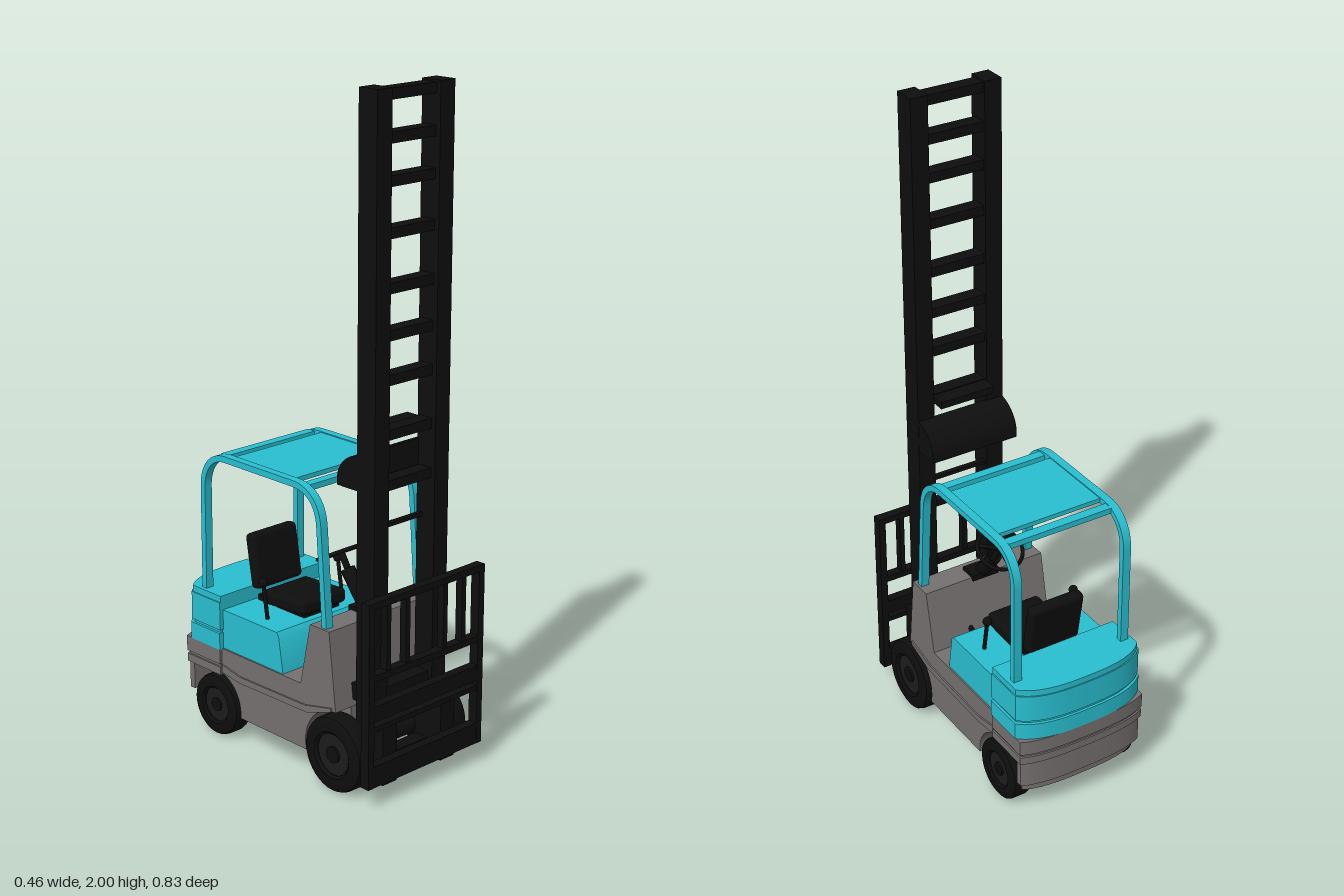
import * as THREE from 'three';
import { RoundedBoxGeometry } from 'three/addons/geometries/RoundedBoxGeometry.js';
import { toCreasedNormals } from 'three/addons/utils/BufferGeometryUtils.js';

const paint = (color) => new THREE.MeshStandardMaterial({ color, side: THREE.DoubleSide });
const teal = paint(0x29bfd0), grey = paint(0x767070), black = paint(0x0e0e0e), dark = paint(0x1c1c1c);

export function createModel() {
  const model = new THREE.Group();
  const add = (name, geo, mat, parent = model) => {
    const mesh = new THREE.Mesh(geo, mat);
    mesh.name = name;
    parent.add(mesh);
    return mesh;
  };
  // box given by its limits on each axis
  const box = (name, mat, [x0, x1], [y0, y1], [z0, z1], parent) => {
    const m = add(name, new THREE.BoxGeometry(x1 - x0, y1 - y0, z1 - z0), mat, parent);
    m.position.set((x0 + x1) / 2, (y0 + y1) / 2, (z0 + z1) / 2);
    return m;
  };
  const poly = (pts) => new THREE.Shape(pts.map((p) => new THREE.Vector2(...p)));
  // side outline drawn in (z, y), extruded across x
  const side = (name, mat, shape, width, x = 0) => {
    const g = new THREE.ExtrudeGeometry(shape, { depth: width, bevelEnabled: false, curveSegments: 16 });
    g.translate(0, 0, -width / 2).rotateY(-Math.PI / 2);
    const m = add(name, toCreasedNormals(g, 0.6), mat);
    m.position.x = x;
    return m;
  };
  // bowed rear block seen from above, extruded upwards
  const rearLayer = (name, mat, y0, y1, zFront, zCorner, inset) => {
    const w = 0.215 - inset, zb = 0.416 - inset;
    const s = new THREE.Shape();
    s.moveTo(-w, -zFront);
    s.lineTo(w, -zFront);
    s.lineTo(w, zCorner - inset);
    s.bezierCurveTo(w * 0.75, zb, w * 0.3, zb, 0, zb);
    s.bezierCurveTo(-w * 0.3, zb, -w * 0.75, zb, -w, zCorner - inset);
    const g = new THREE.ExtrudeGeometry(s, { depth: y1 - y0, bevelEnabled: false, curveSegments: 16 });
    g.rotateX(-Math.PI / 2).translate(0, y0, 0);
    return add(name, toCreasedNormals(g, 0.6), mat);
  };
  const rod = (name, mat, a, b, r) => {
    const path = new THREE.LineCurve3(new THREE.Vector3(...a), new THREE.Vector3(...b));
    return add(name, new THREE.TubeGeometry(path, 1, r, 10), mat);
  };

  // chassis with wheel arches and front cowl
  const chassis = new THREE.Shape();
  chassis.moveTo(-0.152, 0.085);
  chassis.lineTo(0.132, 0.085);
  chassis.absarc(0.255, 0.115, 0.125, Math.PI, Math.PI / 2, true);
  [[0.228, 0.478], [0.15, 0.478], [0.11, 0.285], [-0.26, 0.285]].forEach((p) => chassis.lineTo(...p));
  chassis.lineTo(-0.26, 0.208);
  chassis.absarc(-0.26, 0.1, 0.108, Math.PI / 2, 0, true);
  side('chassis', grey, chassis, 0.41);
  box('chassisCore', grey, [-0.14, 0.14], [0.08, 0.28], [-0.38, 0.25]);
  side('fenderRidge', grey, poly([[0.24, 0.25], [0.24, 0.238], [0.14, 0.205], [-0.15, 0.2],
    [-0.23, 0.21], [-0.23, 0.235], [-0.15, 0.22], [0.13, 0.225]]), 0.42);

  // counterweight
  rearLayer('counterweightUpper', grey, 0.235, 0.282, -0.235, 0.388, 0.002);
  rearLayer('counterweightGroove', grey, 0.225, 0.235, -0.235, 0.388, 0.008);
  rearLayer('counterweightMiddle', grey, 0.2, 0.225, -0.235, 0.388, 0.003);
  rearLayer('counterweightLower', grey, 0.115, 0.2, -0.36, 0.388, 0.008);
  rearLayer('counterweightFoot', grey, 0.085, 0.115, -0.36, 0.388, 0.022);

  // rear hood and seat box
  rearLayer('rearHoodLower', teal, 0.282, 0.335, -0.232, 0.362, 0);
  rearLayer('rearHoodGroove', teal, 0.335, 0.345, -0.236, 0.362, 0.008);
  rearLayer('rearHood', teal, 0.345, 0.432, -0.232, 0.362, 0.002);
  rearLayer('rearHoodLid', teal, 0.432, 0.452, -0.232, 0.362, 0.005);
  side('seatBox', teal, poly([[0.03, 0.283], [0.012, 0.395], [0.003, 0.407], [-0.24, 0.407], [-0.24, 0.283]]), 0.4);

  // overhead guard
  const hoop = new THREE.Shape();
  hoop.moveTo(0.209, 0.475);
  hoop.lineTo(0.187, 0.77);
  hoop.bezierCurveTo(0.182, 0.85, 0.13, 0.885, 0.07, 0.885);
  hoop.lineTo(-0.22, 0.885);
  hoop.bezierCurveTo(-0.29, 0.885, -0.328, 0.83, -0.328, 0.77);
  hoop.lineTo(-0.328, 0.45);
  hoop.lineTo(-0.309, 0.45);
  hoop.lineTo(-0.309, 0.77);
  hoop.bezierCurveTo(-0.309, 0.82, -0.28, 0.866, -0.22, 0.866);
  hoop.lineTo(0.07, 0.866);
  hoop.bezierCurveTo(0.12, 0.866, 0.164, 0.84, 0.168, 0.77);
  hoop.lineTo(0.19, 0.475);
  for (const s of [1, -1]) side('guardHoop', teal, hoop, 0.026, s * 0.184);
  box('guardRoof', teal, [-0.172, 0.172], [0.868, 0.882], [-0.205, 0.055]);
  box('guardRearBar', teal, [-0.172, 0.172], [0.862, 0.88], [-0.262, -0.232]);
  box('guardFrontBar', teal, [-0.172, 0.172], [0.858, 0.876], [0.083, 0.112]);

  // wheels
  const wheel = (name, r, w, x, z) => {
    const g = new THREE.Group();
    g.name = name;
    const h = w / 2;
    const tyre = [[r * 0.55, -h * 0.8], [r * 0.62, -h], [r * 0.88, -h], [r * 0.97, -h * 0.85], [r, -h * 0.55],
      [r, h * 0.55], [r * 0.97, h * 0.85], [r * 0.88, h], [r * 0.62, h], [r * 0.55, h * 0.8]];
    add('tyre', toCreasedNormals(new THREE.LatheGeometry(tyre.map((p) => new THREE.Vector2(...p)), 36), 0.6), black, g);
    add('rim', new THREE.CylinderGeometry(r * 0.56, r * 0.56, w * 0.7, 28), dark, g);
    add('hub', new THREE.CylinderGeometry(r * 0.22, r * 0.22, w * 0.9, 16), black, g);
    g.rotation.z = Math.PI / 2;
    g.position.set(x, r, z);
    model.add(g);
  };
  for (const s of [1, -1]) {
    wheel('frontWheel', 0.114, 0.067, s * 0.187, 0.254);
    wheel('rearWheel', 0.095, 0.066, s * 0.18, -0.26);
  }
  rod('frontAxle', black, [-0.16, 0.114, 0.254], [0.16, 0.114, 0.254], 0.03);
  rod('rearAxle', black, [-0.16, 0.095, -0.26], [0.16, 0.095, -0.26], 0.02);

  // mast: two uprights with rungs
  for (const s of [1, -1]) {
    box('mastUpright', black, [s * 0.1175 - 0.0275, s * 0.1175 + 0.0275], [0.04, 2], [0.276, 0.345]);
    box('mastPivot', black, [s * 0.115 - 0.02, s * 0.115 + 0.02], [0.26, 0.31], [0.235, 0.28]);
  }
  for (const y of [1.98, 1.865, 1.75, 1.61, 1.46, 1.33, 1.205, 1.05, 0.905, 0.29, 0.08])
    box('mastRung', black, [-0.1, 0.1], [y - 0.015, y + 0.015], [0.285, 0.33]);
  box('mastTieBar', black, [-0.1, 0.1], [0.769, 0.781], [0.285, 0.3]);
  box('mastBracket', black, [-0.09, 0.09], [1.04, 1.062], [0.235, 0.285]);
  const cover = poly([[0.28, 0.892], [0.196, 0.892]]);
  cover.lineTo(0.196, 0.92);
  cover.bezierCurveTo(0.2, 0.955, 0.235, 0.99, 0.28, 0.995);
  side('mastCover', black, cover, 0.288);

  // carriage, fork shanks and load backrest
  for (const s of [1, -1]) {
    box('forkShank', black, [s * 0.117 - 0.028, s * 0.117 + 0.028], [0.04, 0.27], [0.345, 0.385]);
    box('backrestPost', black, [s * 0.219 - 0.011, s * 0.219 + 0.011], [0.065, 0.62], [0.383, 0.414]);
    for (const x of [0.075, 0.15])
      box('backrestBar', black, [s * x - 0.008, s * x + 0.008], [0.395, 0.61], [0.386, 0.41]);
  }
  for (const [y0, y1] of [[0.6, 0.62], [0.385, 0.405], [0.265, 0.312], [0.235, 0.25], [0.065, 0.13]])
    box('carriageBar', black, [-0.22, 0.22], [y0, y1], [0.384, 0.413]);

  // seat
  const cushion = add('seatCushion', new RoundedBoxGeometry(0.18, 0.045, 0.18, 3, 0.015), black);
  cushion.position.set(0, 0.437, -0.095);
  cushion.rotation.x = -0.05;
  const back = add('seatBack', new RoundedBoxGeometry(0.18, 0.17, 0.04, 3, 0.015), black);
  back.position.set(0, 0.53, -0.228);
  back.rotation.x = -0.17;
  box('seatBase', black, [-0.07, 0.07], [0.4, 0.425], [-0.22, -0.02]);
  for (const s of [1, -1]) {
    rod('lever', black, [s * 0.15, 0.4, -0.09], [s * 0.15, 0.51, -0.108], 0.006);
    add('leverKnob', new THREE.SphereGeometry(0.014, 14, 10), black).position.set(s * 0.15, 0.515, -0.109);
    rod('pedal', black, [s * 0.07, 0.335, 0.155], [s * 0.07, 0.308, 0.085], 0.008);
  }

  // steering column and wheel
  rod('steeringColumn', black, [0, 0.46, 0.18], [0, 0.575, 0.09], 0.022);
  rod('steeringShaft', black, [0, 0.56, 0.1], [0, 0.622, 0.06], 0.01);
  box('columnBase', black, [-0.045, 0.045], [0.47, 0.49], [0.14, 0.2]);
  const steering = new THREE.Group();
  steering.name = 'steeringWheel';
  add('rim', new THREE.TorusGeometry(0.07, 0.006, 8, 36), black, steering);
  for (let i = 0; i < 3; i++) {
    const spoke = add('spoke', new THREE.BoxGeometry(0.07, 0.012, 0.006).translate(0.035, 0, 0), black, steering);
    spoke.rotation.z = Math.PI / 2 + (i * 2 * Math.PI) / 3;
  }
  steering.position.set(0, 0.618, 0.06);
  steering.rotation.x = -Math.PI / 2 - 0.5;
  model.add(steering);

  return model;
}
